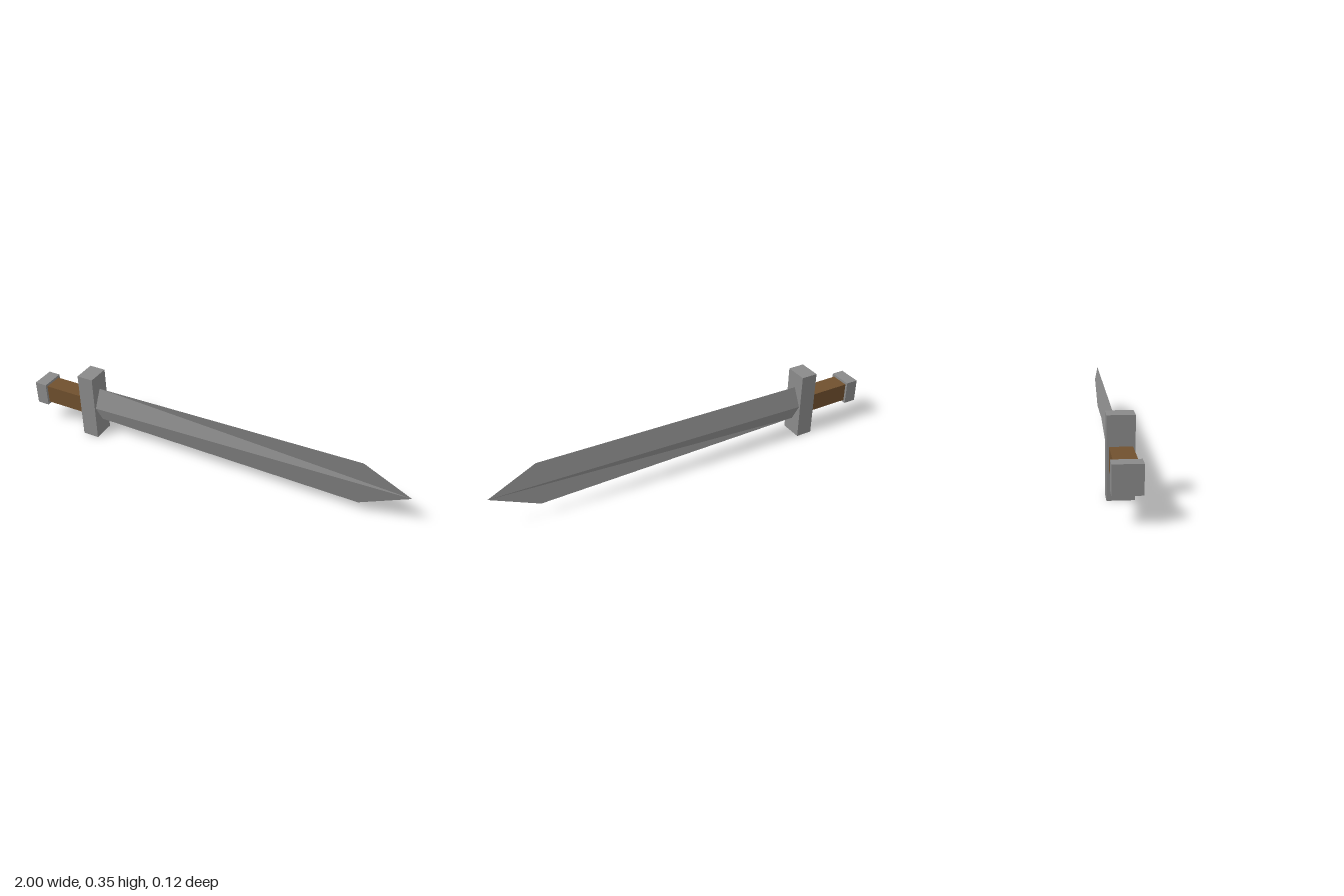
import * as THREE from 'three';

const steel = new THREE.MeshStandardMaterial({ color: 0x8a8a8a, side: THREE.DoubleSide });
steel.name = 'steel grey';
const wood = new THREE.MeshStandardMaterial({ color: 0x70502e });
wood.name = 'grip brown';

const MID = 0.177; // height of the sword's long axis

// Box running from x0 to x1, centred on the long axis
function bar(name, x0, x1, height, depth, material) {
  const mesh = new THREE.Mesh(new THREE.BoxGeometry(x1 - x0, height, depth), material);
  mesh.position.set((x0 + x1) / 2, MID, 0);
  mesh.name = name;
  return mesh;
}

// Blade: a diamond base tapering to the tip, with flat fins flaring to the shoulders
function bladeGeometry() {
  const BASE = -0.636;
  const positions = [], normals = [];
  for (const sy of [1, -1]) {
    for (const sz of [1, -1]) {
      const ridge = new THREE.Vector3(BASE, 0, 0.049 * sz);
      const edge = new THREE.Vector3(BASE, 0.094 * sy, 0);
      const shoulder = new THREE.Vector3(0.765, 0.115 * sy, 0);
      const tip = new THREE.Vector3(1, 0, 0);
      const facet = [ridge, edge, tip], fin = [edge, shoulder, tip];
      if (sy * sz > 0) [facet, fin].forEach((t) => t.reverse());

      // One shared normal for the facet and its fin
      const cross = ([a, b, c]) => b.clone().sub(a).cross(c.clone().sub(a));
      const normal = cross(facet).add(cross(fin)).normalize();

      // Each thin fin is built once and belongs to one side of the blade
      const hasFin = sy !== sz;
      for (const p of hasFin ? [...facet, ...fin] : facet) {
        positions.push(p.x, p.y, p.z);
        normals.push(normal.x, normal.y, normal.z);
      }
    }
  }
  const geometry = new THREE.BufferGeometry();
  geometry.setAttribute('position', new THREE.Float32BufferAttribute(positions, 3));
  geometry.setAttribute('normal', new THREE.Float32BufferAttribute(normals, 3));
  return geometry;
}

export function createModel() {
  const sword = new THREE.Group();
  sword.name = 'sword';

  const blade = new THREE.Mesh(bladeGeometry(), steel);
  blade.position.y = MID;
  blade.name = 'blade';

  sword.add(
    blade,
    bar('crossguard', -0.722, -0.636, 0.353, 0.116, steel),
    bar('grip', -0.937, -0.72, 0.096, 0.096, wood),
    bar('pommel', -1, -0.936, 0.121, 0.121, steel),
  );
  return sword;
}
